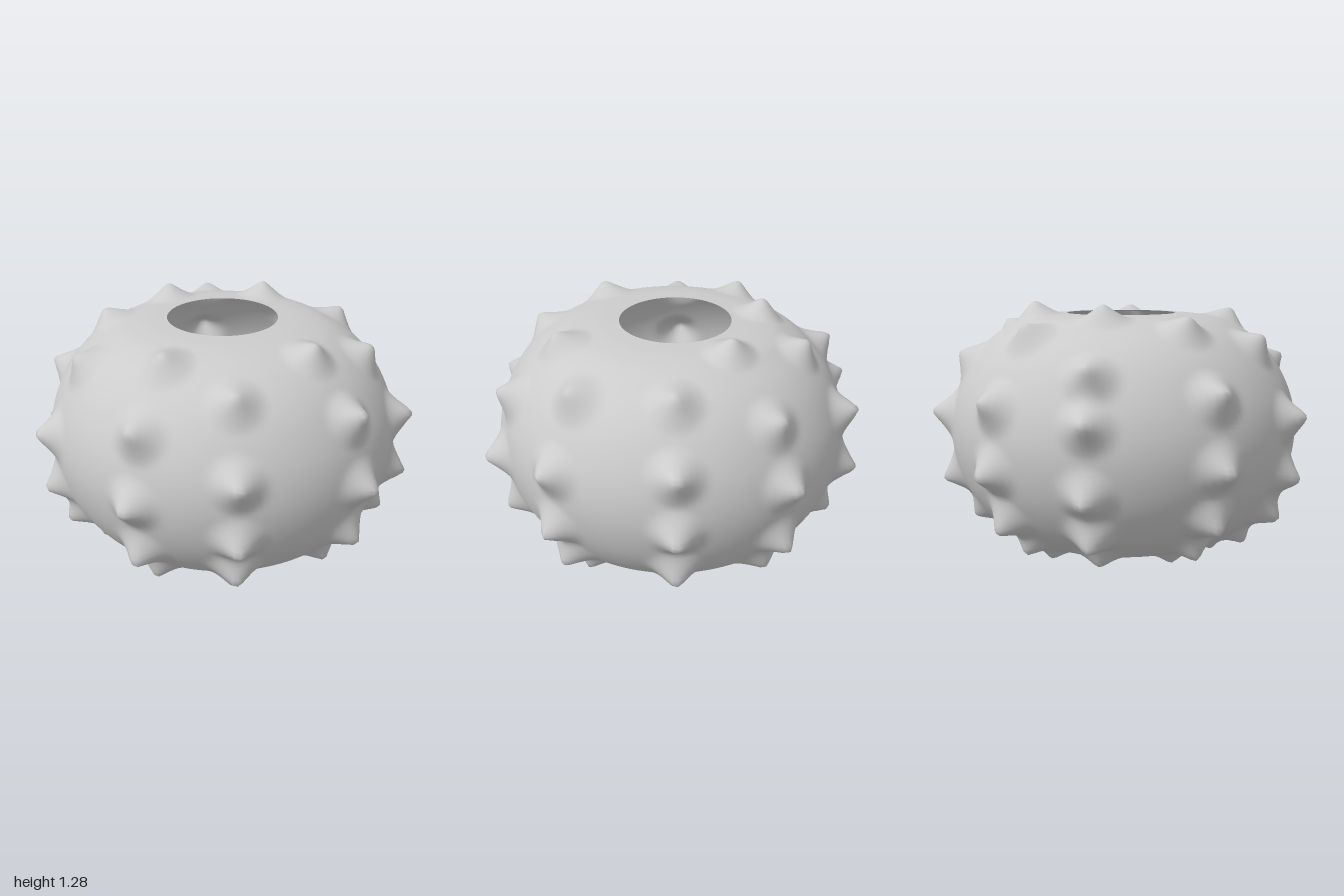
import * as THREE from 'three';
import { mergeVertices } from 'three/addons/utils/BufferGeometryUtils.js';

const DEG = Math.PI / 180;
const CENTRE_Y = 0.6;

// Knob elevations (degrees about the shell centre) for the staggered column types
const EVEN = [45, 22, 1, -17.5, -33, -48];
const ODD = [34, 10.5, -8.5, -23, -36, -47];
const HIGH = [54, 26, 7, -13, -28, -43];

// Columns around the shell: angle from +z towards +x, and elevations
const COLUMNS = [
  [1, EVEN], [32, ODD], [73, EVEN], [104.5, ODD], [143.5, [37, 16, -2, -19, -35, -47]],
  [178, HIGH], [215.5, [39, 14, -5, -22, -35, -46]], [247, [53, 25, 11, -9, -24, -40]],
  [286, [43, 18, -2, -19, -34, -48]], [319.5, [33, 8, -10, -23, -36, -47]],
];

// Shell cross-section from the bottom opening to the top opening
const profile = new THREE.SplineCurve([
  [0.435, 0.055], [0.52, 0.062], [0.63, 0.115], [0.757, 0.225], [0.858, 0.4], [0.9, 0.6],
  [0.877, 0.79], [0.795, 0.965], [0.685, 1.09], [0.55, 1.172], [0.42, 1.205], [0.28, 1.215],
].map(([r, y]) => new THREE.Vector2(r, y)));

// Point and outward direction on the smooth shell
function shellPoint(t, angle) {
  const p = profile.getPoint(t);
  const d = profile.getTangent(t);
  const s = Math.sin(angle), c = Math.cos(angle);
  return {
    pos: new THREE.Vector3(p.x * s, p.y, p.x * c),
    dir: new THREE.Vector3(d.y * s, -d.x, d.y * c).normalize(),
  };
}

// Profile parameter whose elevation is closest to the requested one
function findT(elevation) {
  let best = 0, error = Infinity;
  for (let i = 0; i <= 300; i++) {
    const p = profile.getPoint(i / 300);
    const e = Math.abs(Math.atan2(p.y - CENTRE_Y, p.x) - elevation);
    if (e < error) { error = e; best = i / 300; }
  }
  return best;
}

// Knobs are tallest at the equator and shrink towards both openings
function knobHeight(elevation) {
  if (elevation < -38) return 0.055;
  return Math.abs(elevation) > 25 ? 0.075 : 0.1;
}

function makeKnobs() {
  const knobs = [];
  for (const [angle, elevations] of COLUMNS) {
    for (const e of elevations) {
      const knob = shellPoint(findT(e * DEG), angle * DEG);
      knob.height = knobHeight(e);
      knob.width = e < -30 ? 0.12 : 0.145;
      knobs.push(knob);
    }
  }
  return knobs;
}

// Lathed shell with flared conical knobs pulled out of the surface
function shellGeometry() {
  const points = [];
  for (let i = 0; i <= 110; i++) points.push(profile.getPoint(i / 110));
  let geo = new THREE.LatheGeometry(points, 200);
  geo.deleteAttribute('uv');
  geo.deleteAttribute('normal');
  geo = mergeVertices(geo, 1e-4);

  const knobs = makeKnobs();
  const pos = geo.attributes.position;
  const base = new THREE.Vector3(), out = new THREE.Vector3();
  for (let i = 0; i < pos.count; i++) {
    base.fromBufferAttribute(pos, i);
    out.copy(base);
    for (const k of knobs) {
      const q = base.distanceTo(k.pos) / k.width;
      if (q >= 1) continue;
      // blunt tip, steep flank, soft skirt
      const lift = Math.pow(1 - Math.sqrt(q * q + 0.02) / Math.sqrt(1.02), 1.6) * 1.28;
      out.addScaledVector(k.dir, k.height * lift);
    }
    // top opening sits slightly off centre
    const rim = THREE.MathUtils.smoothstep(base.y, 1.15, 1.215);
    out.x -= 0.01 * rim;
    out.z -= 0.015 * rim;
    pos.setXYZ(i, out.x, out.y, out.z);
  }
  geo.computeVertexNormals();
  return geo;
}

export function createModel() {
  const group = new THREE.Group();
  group.name = 'urchinShell';
  const shell = new THREE.Mesh(
    shellGeometry(),
    new THREE.MeshStandardMaterial({ color: 0xcccccc, side: THREE.DoubleSide }),
  );
  shell.name = 'knobbedShell';
  group.add(shell);
  return group;
}
